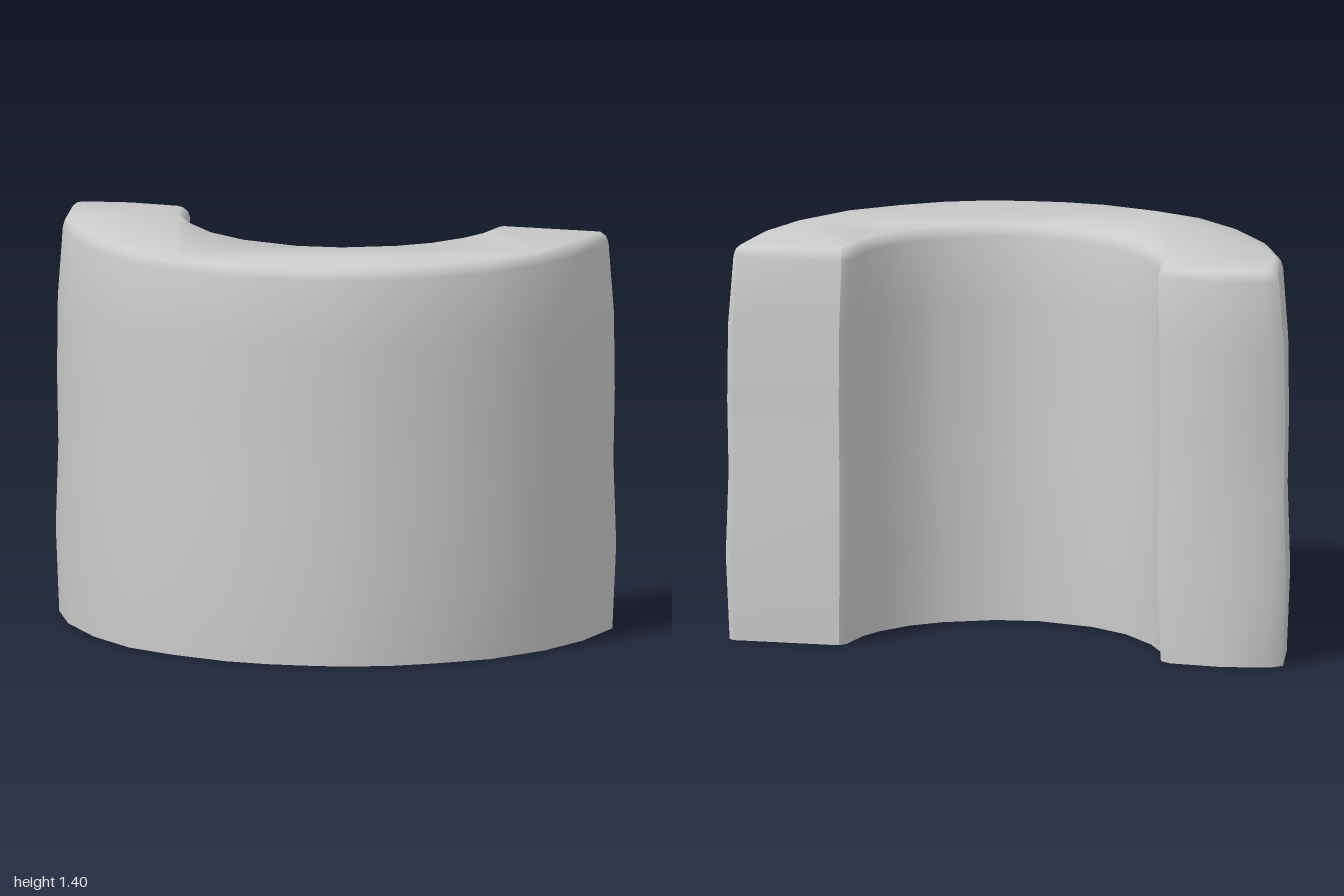
import * as THREE from 'three';
import { toCreasedNormals } from 'three/addons/utils/BufferGeometryUtils.js';

// Plan outline of the half ring as [x, z] corners
const outer = [
  [0.99, -0.44], [0.95, -0.2], [0.87, 0], [0.73, 0.2], [0.56, 0.33], [0.43, 0.41], [0.27, 0.47], [0.13, 0.49], [0, 0.5],
  [-0.15, 0.49], [-0.36, 0.43], [-0.54, 0.35], [-0.71, 0.2], [-0.86, 0], [-0.95, -0.2], [-0.99, -0.44],
];
const leftFace = [[-0.95, -0.475], [-0.78, -0.503], [-0.59, -0.49]];
const inner = [
  [-0.55, -0.46], [-0.525, -0.33], [-0.46, -0.21], [-0.34, -0.07], [-0.2, 0.02], [0, 0.07],
  [0.15, 0.055], [0.32, -0.02], [0.42, -0.1], [0.5, -0.21], [0.54, -0.3], [0.565, -0.43],
];
const rightFace = [[0.59, -0.46], [0.97, -0.46]];
const outline = [...outer, ...leftFace, ...inner, ...rightFace].map(([x, z]) => new THREE.Vector2(x, z));

// Horizontal sections: height, outward offset, x scale, shift of the bulging end face
const sections = [
  [0, -0.005, 1, -0.006], [0.3, 0.007, 1, 0.004], [0.6, 0, 0.998, 0.01], [0.85, 0, 1.003, 0.006],
  [1.12, 0, 1, 0], [1.365, -0.004, 0.985, 0], [1.39, -0.012, 0.985, 0], [1.405, -0.03, 0.985, 0],
];

// Moves each outline corner along its mitred outward direction
function offsetOutline(distance) {
  const n = outline.length;
  const normal = (a, b) => new THREE.Vector2(b.y - a.y, a.x - b.x).normalize();
  return outline.map((p, i) => {
    const n1 = normal(outline[(i + n - 1) % n], p);
    const n2 = normal(p, outline[(i + 1) % n]);
    const mitre = n1.clone().add(n2).divideScalar(1 + n1.dot(n2));
    return p.clone().addScaledVector(mitre, distance);
  });
}

function createBlockGeometry() {
  const positions = [], index = [], n = outline.length;
  const rings = sections.map(([y, distance, scaleX, shift]) => {
    const ring = offsetOutline(distance);
    ring.forEach((p) => {
      p.x *= scaleX;
      if (p.x < -0.65 && p.y < -0.46) p.y += shift;
      positions.push(p.x, y, p.y);
    });
    return ring;
  });

  // Side walls and rounded top rim
  for (let s = 0; s < sections.length - 1; s++) {
    for (let i = 0; i < n; i++) {
      const a = s * n + i, b = s * n + (i + 1) % n;
      index.push(a, a + n, b, b, a + n, b + n);
    }
  }

  // Flat bottom and top
  const top = (sections.length - 1) * n;
  for (const [a, b, c] of THREE.ShapeUtils.triangulateShape(rings[0], [])) index.push(a, b, c);
  for (const [a, b, c] of THREE.ShapeUtils.triangulateShape(rings[sections.length - 1], [])) {
    index.push(top + a, top + c, top + b);
  }

  const geometry = new THREE.BufferGeometry();
  geometry.setAttribute('position', new THREE.Float32BufferAttribute(positions, 3));
  geometry.setIndex(index);
  return toCreasedNormals(geometry, 0.72);
}

export function createModel() {
  const group = new THREE.Group();
  group.name = 'halfRing';
  const block = new THREE.Mesh(createBlockGeometry(), new THREE.MeshStandardMaterial({ color: 0xcccccc }));
  block.name = 'curvedBlock';
  group.add(block);
  return group;
}
